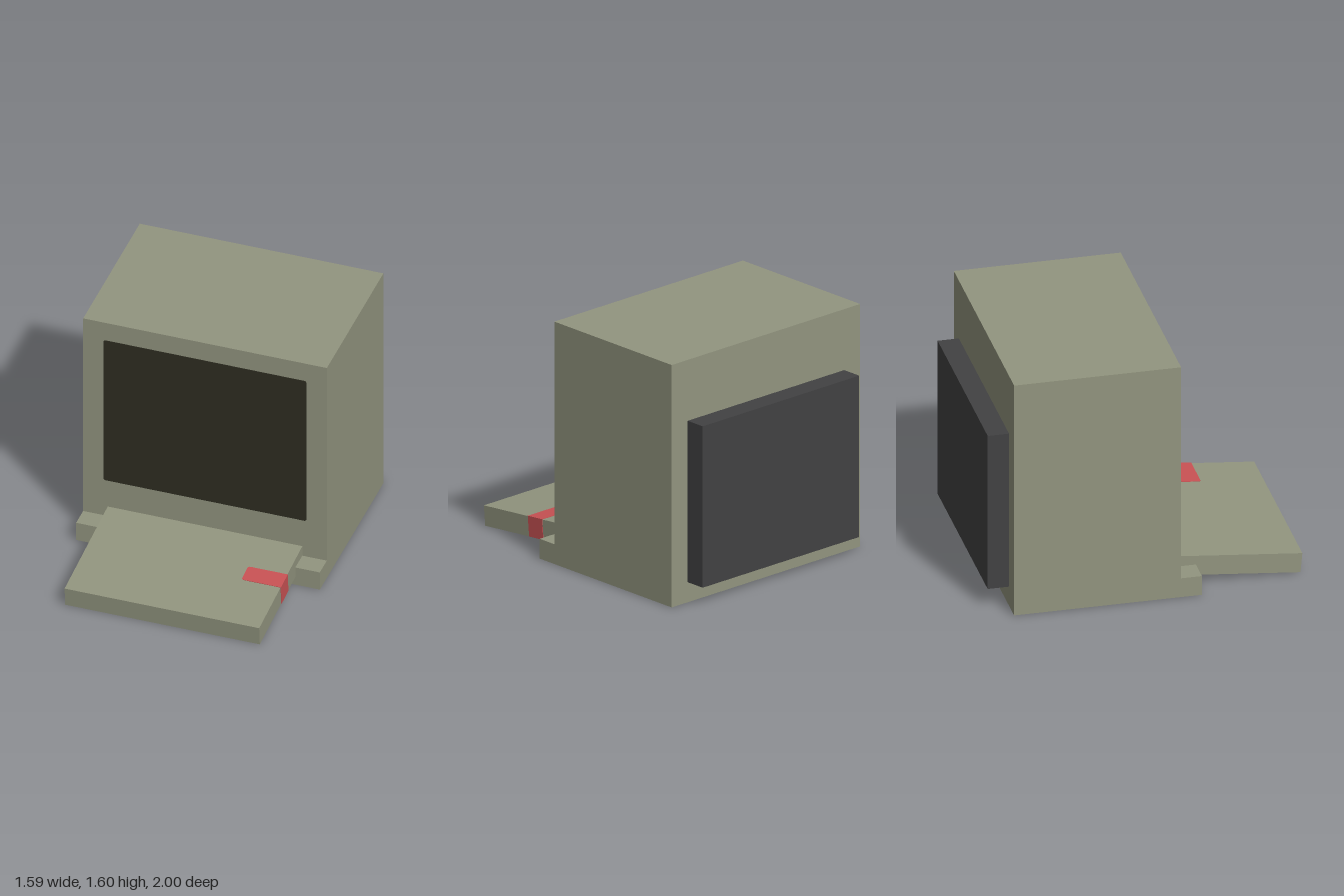
import * as THREE from 'three';

const mat = (name, color) => Object.assign(new THREE.MeshStandardMaterial({ color }), { name });

export function createModel() {
  const casing = mat('olive casing', 0x92957f);
  const glass = mat('dark glass', 0x2e2d22);
  const grey = mat('charcoal', 0x424243);
  const red = mat('red', 0xc95254);
  const model = new THREE.Group();
  model.name = 'desktopComputer';

  // Box given by its min and max corners
  const box = (parent, name, m, [x0, y0, z0], [x1, y1, z1]) => {
    const mesh = new THREE.Mesh(new THREE.BoxGeometry(x1 - x0, y1 - y0, z1 - z0), m);
    mesh.position.set((x0 + x1) / 2, (y0 + y1) / 2, (z0 + z1) / 2);
    mesh.name = name;
    parent.add(mesh);
    return mesh;
  };

  // Thin plate with rounded corners, facing +z before it is turned
  const plate = (parent, name, m, w, h, r, pos, rotX = 0) => {
    const s = new THREE.Shape();
    const a = w / 2, b = h / 2;
    s.moveTo(-a + r, -b);
    s.absarc(a - r, -b + r, r, -Math.PI / 2, 0);
    s.absarc(a - r, b - r, r, 0, Math.PI / 2);
    s.absarc(-a + r, b - r, r, Math.PI / 2, Math.PI);
    s.absarc(-a + r, -b + r, r, Math.PI, Math.PI * 1.5);
    const geo = new THREE.ExtrudeGeometry(s, { depth: 0.004, bevelEnabled: false, curveSegments: 4 });
    const mesh = new THREE.Mesh(geo, m);
    mesh.position.set(...pos);
    mesh.rotation.x = rotX;
    mesh.name = name;
    parent.add(mesh);
    return mesh;
  };

  // Main case as one L-shaped side profile, with its front ledge
  const profile = new THREE.Shape([
    [-0.865, 0.003], [0.325, 0.003], [0.325, 0.133], [0.193, 0.133], [0.193, 1.595], [-0.865, 1.595],
  ].map(([z, y]) => new THREE.Vector2(-z, y)));
  const bodyGeo = new THREE.ExtrudeGeometry(profile, { depth: 1.59, bevelEnabled: false });
  bodyGeo.translate(0, 0, -0.795).rotateY(Math.PI / 2);
  const body = new THREE.Mesh(bodyGeo, casing);
  body.name = 'case';
  model.add(body);

  // Screen, rear housing and base panel
  plate(model, 'screen', glass, 1.325, 1.06, 0.015, [0, 0.933, 0.192]);
  box(model, 'rearHousing', grey, [-0.66, 0.135, -1], [0.66, 1.195, -0.86]);
  plate(model, 'basePanel', grey, 1.32, 0.9, 0.04, [0, 0.004, -0.28], Math.PI / 2);

  // Sloping keyboard, hinged about its lower front edge
  const keyboard = new THREE.Group();
  keyboard.name = 'keyboard';
  keyboard.position.set(0, 0, 0.988);
  keyboard.rotation.x = 0.0923;
  model.add(keyboard);
  box(keyboard, 'keyboardSlab', casing, [-0.635, 0, -0.813], [0.635, 0.131, 0]);
  plate(keyboard, 'keyboardBasePanel', grey, 1.0, 0.54, 0.04, [0, 0.001, -0.41], Math.PI / 2);

  // Red tab wrapping from the top onto the left side
  plate(keyboard, 'redTabTop', red, 0.256, 0.128, 0.015, [0.508, 0.13, -0.465], -Math.PI / 2);
  box(keyboard, 'redTabCorner', red, [0.6, 0.13, -0.529], [0.638, 0.134, -0.401]);
  box(keyboard, 'redTabSide', red, [0.634, 0, -0.529], [0.638, 0.134, -0.401]);

  return model;
}
